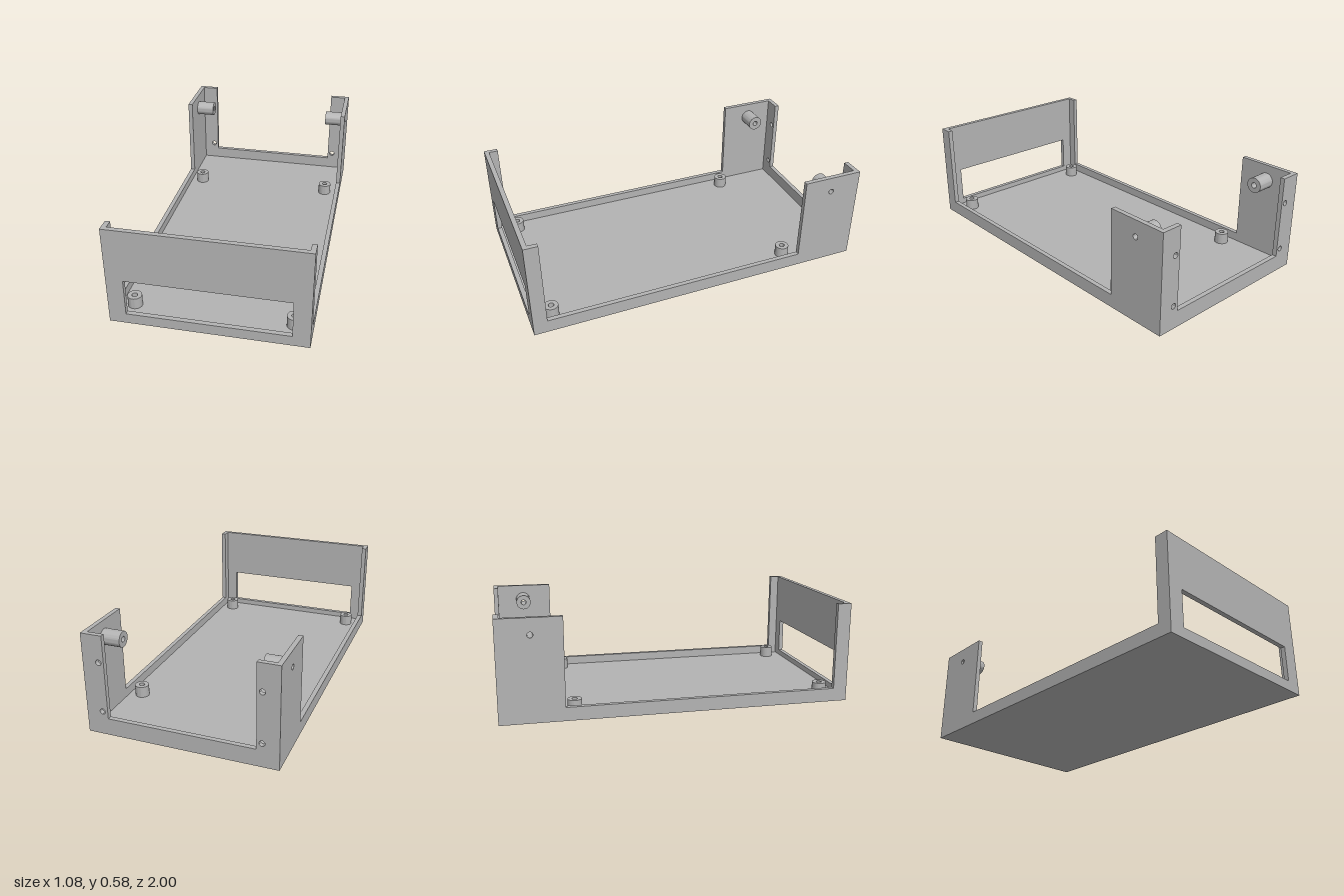
import * as THREE from 'three';
import { toCreasedNormals } from 'three/addons/utils/BufferGeometryUtils.js';

const W = 0.54, H = 0.58, T = 0.027, FLOOR = 0.027, HOLE = 0.016;

const polygon = (points) => new THREE.Shape(points.map(([x, y]) => new THREE.Vector2(x, y)));

function addHole(shape, x, y, r = HOLE) {
  shape.holes.push(new THREE.Path().absarc(x, y, r, 0, Math.PI * 2, true));
}

// Extrudes a shape with smooth round sides and sharp edges
function extrude(shape, depth) {
  const geometry = new THREE.ExtrudeGeometry(shape, { depth, bevelEnabled: false, curveSegments: 32 });
  return toCreasedNormals(geometry, 0.6);
}

function ring(radius, length) {
  const shape = new THREE.Shape().absarc(0, 0, radius, 0, Math.PI * 2, false);
  addHole(shape, 0, 0);
  return extrude(shape, length);
}

export function createModel() {
  const model = new THREE.Group();
  model.name = 'enclosureTray';
  const grey = new THREE.MeshStandardMaterial({ color: 0xb3b3b3 });
  grey.name = 'grey plastic';

  const add = (name, geometry, x, y, z) => {
    const mesh = new THREE.Mesh(geometry, grey);
    mesh.name = name;
    mesh.position.set(x, y, z);
    model.add(mesh);
  };

  // Floor plate
  add('floor', new THREE.BoxGeometry(2 * W, FLOOR, 2), 0, FLOOR / 2, 0);

  // Side walls: profile drawn in z and y, low in the middle, tall at the ends
  const side = polygon([
    [-1, FLOOR], [1, FLOOR], [1, H], [0.92, H], [0.92, 0.077],
    [-0.64, 0.077], [-0.64, H], [-1, H],
  ]);
  addHole(side, -0.815, 0.487);
  const sideWall = extrude(side, T).rotateY(-Math.PI / 2);
  add('leftWall', sideWall, W, 0, 0);
  add('rightWall', sideWall, -W + T, 0, 0);

  // Front wall with a wide window
  const inner = W - T;
  const front = polygon([[-inner, FLOOR], [inner, FLOOR], [inner, H], [-inner, H]]);
  front.holes.push(polygon([[-0.445, 0.06], [-0.445, 0.273], [0.445, 0.273], [0.445, 0.06]]));
  add('frontWall', extrude(front, T), 0, 0, 1 - T);

  // Back wall, open between two corner flanges with screw holes
  const back = polygon([
    [-inner, FLOOR], [inner, FLOOR], [inner, H], [0.417, H],
    [0.417, 0.098], [-0.417, 0.098], [-0.417, H], [-inner, H],
  ]);
  for (const x of [-0.447, 0.447]) {
    for (const y of [0.137, 0.425]) addHole(back, x, y);
  }
  add('backWall', extrude(back, T), 0, 0, -1);

  // Hollow bosses on the inside of the side walls
  const bossLength = inner - 0.4;
  const boss = ring(0.045, bossLength).rotateY(-Math.PI / 2);
  add('leftBoss', boss, inner, 0.487, -0.815);
  add('rightBoss', boss, -inner + bossLength, 0.487, -0.815);

  // Hollow standoffs on the floor
  const standoff = ring(0.04, 0.092 - FLOOR).rotateX(-Math.PI / 2);
  for (const x of [-0.438, 0.438]) {
    for (const z of [-0.583, 0.873]) add('standoff', standoff, x, FLOOR, z);
  }

  return model;
}
